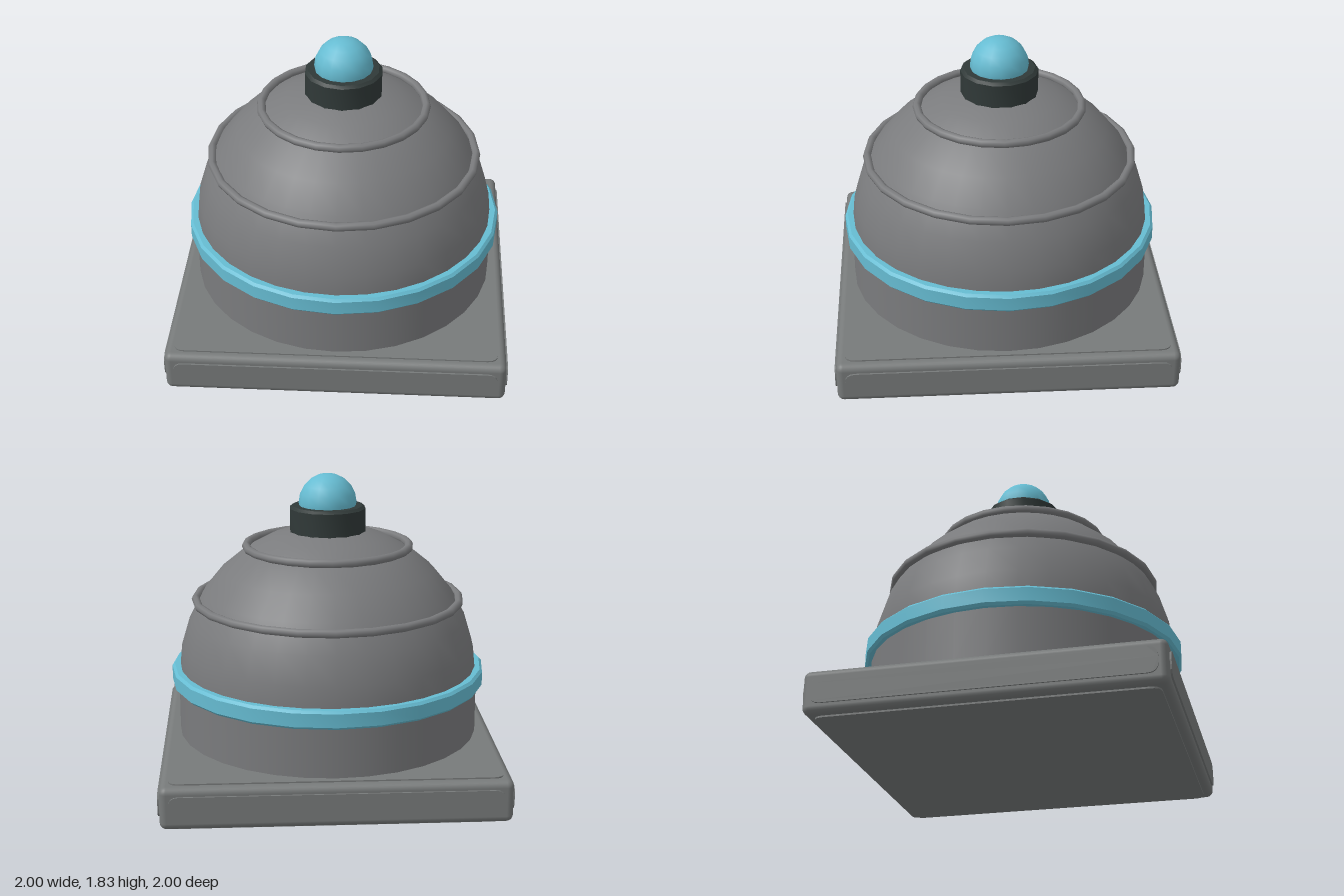
import * as THREE from 'three';
import { RoundedBoxGeometry } from 'three/addons/geometries/RoundedBoxGeometry.js';
import { toCreasedNormals } from 'three/addons/utils/BufferGeometryUtils.js';

const material = (name, color) => {
  const m = new THREE.MeshStandardMaterial({ color });
  m.name = name;
  return m;
};

export function createModel() {
  const model = new THREE.Group();
  model.name = 'domedBeacon';
  const baseGrey = material('base grey', 0x777a7a);
  const domeGrey = material('dome grey', 0x7a7b7d);
  const blue = material('light blue', 0x66bcd2);
  const dark = material('dark collar', 0x303938);

  const add = (name, geometry, mat, y = 0, parent = model) => {
    const mesh = new THREE.Mesh(geometry, mat);
    mesh.name = name;
    mesh.position.y = y;
    parent.add(mesh);
    return mesh;
  };
  const lathe = (points, sides) => toCreasedNormals(
    new THREE.LatheGeometry(points.map(([r, y]) => new THREE.Vector2(r, y)), sides), 0.6);

  // Square base: rounded slab with a thin raised panel on every face
  const base = new THREE.Group();
  base.name = 'base';
  model.add(base);
  add('baseSlab', new RoundedBoxGeometry(1.98, 0.25, 1.98, 3, 0.04), baseGrey, 0.135, base);

  const panel = (w, h, r, depth) => {
    const x = w / 2, y = h / 2;
    const s = new THREE.Shape();
    s.moveTo(-x + r, -y);
    s.lineTo(x - r, -y); s.quadraticCurveTo(x, -y, x, -y + r);
    s.lineTo(x, y - r); s.quadraticCurveTo(x, y, x - r, y);
    s.lineTo(-x + r, y); s.quadraticCurveTo(-x, y, -x, y - r);
    s.lineTo(-x, -y + r); s.quadraticCurveTo(-x, -y, -x + r, -y);
    return new THREE.ExtrudeGeometry(s, { depth, bevelEnabled: false, curveSegments: 4 });
  };
  const sidePanel = panel(1.88, 0.15, 0.06, 0.01).translate(0, 0, 0.99);
  ['frontPanel', 'leftPanel', 'backPanel', 'rightPanel'].forEach((name, i) => {
    add(name, sidePanel, baseGrey, 0.137, base).rotation.y = i * Math.PI / 2;
  });
  const flatPanel = panel(1.88, 1.88, 0.06, 0.01);
  add('topPanel', flatPanel, baseGrey, 0.258, base).rotation.x = -Math.PI / 2;
  add('bottomPanel', flatPanel, baseGrey, 0.01, base).rotation.x = Math.PI / 2;

  // Drum and dome
  add('drum', new THREE.CylinderGeometry(0.905, 0.905, 0.38, 32, 1, true), domeGrey, 0.45);
  add('dome', new THREE.SphereGeometry(0.9, 32, 8, 0, Math.PI * 2, 0, Math.PI / 2), domeGrey, 0.62);

  // Raised rings around the dome
  [['lowerRing', 0.793, 1.075], ['upperRing', 0.487, 1.397]].forEach(([name, radius, y]) => {
    add(name, new THREE.TorusGeometry(radius, 0.025, 8, 24).rotateX(Math.PI / 2), domeGrey, y);
  });

  // Coloured band with chamfered edges
  add('band', lathe([[0.88, 0.565], [0.93, 0.565], [0.945, 0.58], [0.945, 0.66],
    [0.93, 0.675], [0.88, 0.675]], 24), blue);

  // Collar and lamp
  add('collar', lathe([[0, 1.46], [0.228, 1.46], [0.228, 1.625], [0.21, 1.64], [0, 1.64]], 14), dark);
  add('lamp', new THREE.SphereGeometry(0.172, 16, 10), blue, 1.657);

  return model;
}
